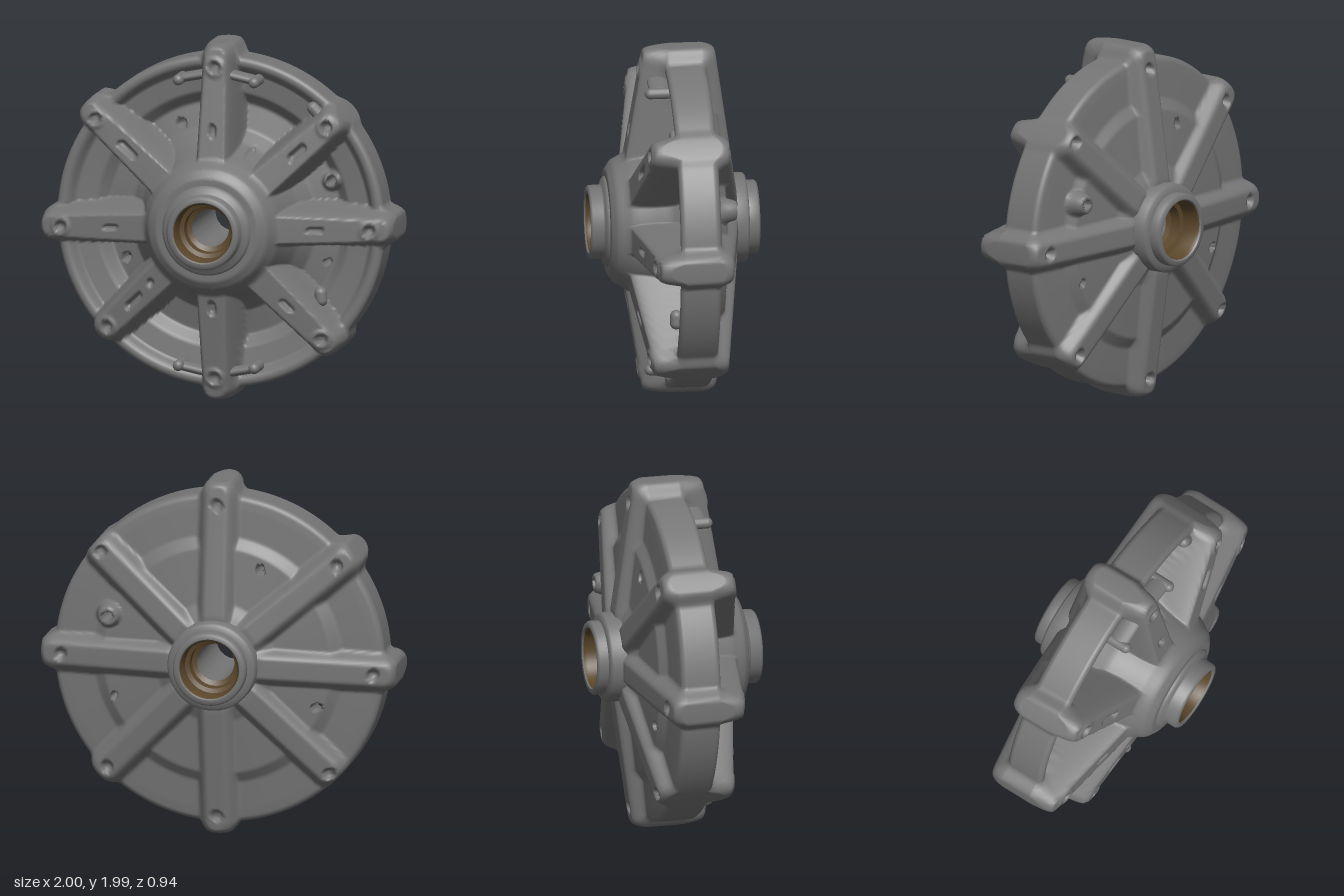
import * as THREE from 'three';
import { toCreasedNormals } from 'three/addons/utils/BufferGeometryUtils.js';

const CY = 0.985, SEG = 400, RINGS = 72, R0 = 0.22, RIM = 0.93, FILLET = 0.03;
const rad = THREE.MathUtils.degToRad;

// Eight ribs: angle, how far the end lug sticks out of the rim, bolt radius, slot [from, to, half width]
const ribs = [
  [0, 0.07, 0.877, [0.55, 0.61, 0.012]],
  [42, 0.01, 0.856, [0.6, 0.68, 0.018]],
  [90, 0.075, 0.882, [0.52, 0.55, 0.016]],
  [140, 0.06, 0.885, [0.59, 0.68, 0.018]],
  [182.7, 0.07, 0.877, [0.55, 0.61, 0.008]],
  [224, 0.0, 0.85, [0.58, 0.67, 0.014]],
  [270, 0.055, 0.856, [0.44, 0.47, 0.02]],
  [314.5, 0.03, 0.865, [0.57, 0.63, 0.012]],
].map(([a, lug, bolt, slot]) => ({
  c: Math.cos(rad(a)), s: Math.sin(rad(a)), lug, bolt, slot, end: RIM + lug - 0.07,
}));

// Holes through the panels [x, y, radius] and shallow pits in their front
const holes = [[-0.245, 0.525, 0.022], [0.61, 0.235, 0.024], [-0.56, -0.24, 0.023], [0.58, -0.225, 0.016]];
const pits = [[0.18, 0.395, 0.02], [-0.35, -0.325, 0.018]];

// Panel sections between the ribs: [radius, z]
const frontSection = [[0.22, 0.37], [0.29, 0.368], [0.34, 0.335], [0.385, 0.25], [0.41, 0.16], [0.45, 0.045],
  [0.52, -0.05], [0.66, -0.085], [0.72, -0.025], [0.84, -0.01], [0.865, 0.035], [0.885, 0.05], [1.1, 0.05]];
const backSection = [[0.22, -0.325], [0.28, -0.3], [0.34, -0.27], [0.64, -0.235], [0.70, -0.195], [0.86, -0.18],
  [0.93, -0.17], [1.1, -0.17]];

function sample(section, r) {
  let i = 1;
  while (i < section.length - 1 && section[i][0] < r) i++;
  const [a, za] = section[i - 1], [b, zb] = section[i];
  return za + (zb - za) * (r - a) / (b - a);
}
function smoothMax(a, b, k) {
  const h = Math.max(k - Math.abs(a - b), 0) / k;
  return Math.max(a, b) + h * h * k / 4;
}
// Falls away softly past the rib's edge, then steeply
function shoulder(d, w, slope) {
  const e = Math.max(0, d - w + 0.025);
  return e < 0.05 ? e * e * slope / 0.1 : 0.025 * slope + (e - 0.05) * slope;
}
const segDist = (u, v, a, b) => Math.hypot(u - Math.min(Math.max(u, a), b), v);
const inside = (d, r, soft = 0.014) => 1 - THREE.MathUtils.smoothstep(d, r - soft / 2, r + soft / 2);

// Outline of the rim, swelling at the lugs
function rimRadius(t) {
  let r = RIM;
  for (const b of ribs) {
    const u = Math.cos(t) * b.c + Math.sin(t) * b.s, v = Math.abs(Math.sin(t) * b.c - Math.cos(t) * b.s);
    if (u > 0) r = Math.max(r, RIM + b.lug * (1 - THREE.MathUtils.smoothstep(v, 0.06, 0.13)));
  }
  return r;
}

function heights(x, y) {
  const r = Math.hypot(x, y);
  let f = sample(frontSection, r), k = -sample(backSection, r), cut = 0, backCut = 0;
  for (const b of ribs) {
    const u = x * b.c + y * b.s, v = Math.abs(y * b.c - x * b.s);
    if (u < 0 || v > 0.3) continue;
    const d = segDist(u, v, 0, b.end);
    const top = 0.265 - (r - 0.39) * 0.17 - Math.max(0, 0.39 - r) * 0.1;
    f = smoothMax(f, top - shoulder(d, 0.105 - 0.025 * r, 10), 0.03);
    k = smoothMax(k, 0.338 - Math.max(0, r - 0.27) * 0.145 - shoulder(d, 0.07, 2), 0.025);
    const bolt = Math.hypot(u - b.bolt, v);
    f += 0.01 * inside(bolt, 0.055, 0.02);
    cut = Math.max(cut, 0.05 * inside(bolt, 0.026), 0.035 * inside(segDist(u, v, b.slot[0], b.slot[1]), b.slot[2]));
    backCut = Math.max(backCut, 0.04 * inside(Math.hypot(u - 0.88, v), 0.028));
  }
  for (const [px, py, pr] of pits) cut = Math.max(cut, 0.03 * inside(Math.hypot(x - px, y - py), pr));
  // Raised sleeve on the back around one panel hole
  const sleeve = Math.hypot(x - holes[1][0], y - holes[1][1]);
  k += Math.max(0, 0.29 - k) * inside(sleeve, 0.062, 0.025);
  f += 0.035 * inside(sleeve, 0.05, 0.025);
  return [f - cut, -k + backCut];
}

// Ribbed casing: one loop of rings running over the front, round the rim and over the back
function casingGeometry() {
  const pos = [], open = [], index = [], rows = 2 * (RINGS + 1), edge = 6;
  for (let row = 0; row < rows; row++) {
    const front = row <= RINGS, i = front ? row : rows - 1 - row;
    for (let j = 0; j < SEG; j++) {
      const t = j / SEG * Math.PI * 2, R = rimRadius(t), n = RINGS - edge;
      const r = i <= n ? R0 + (R - FILLET - R0) * i / n
        : R - FILLET + FILLET * Math.sin((i - n) / edge * Math.PI / 2);
      let x = r * Math.cos(t), y = r * Math.sin(t);
      const e = Math.max(0, r - R + FILLET);
      const round = FILLET - Math.sqrt(Math.max(0, FILLET * FILLET - e * e));
      const [f, b] = heights(x, y);
      // Points inside a hole move out to its edge so that it stays round
      const hole = holes.find(h => Math.hypot(x - h[0], y - h[1]) < h[2]);
      if (hole) {
        const dx = x - hole[0], dy = y - hole[1], d = Math.hypot(dx, dy);
        if (d > hole[2] * 0.4) {
          x = hole[0] + dx * hole[2] / d;
          y = hole[1] + dy * hole[2] / d;
        }
      }
      open.push(!!hole);
      pos.push(x, y, hole ? (f + b) / 2 : front ? f - round : b + round);
    }
  }
  const face = (a, b, c) => { if (!(open[a] && open[b] && open[c])) index.push(a, b, c); };
  for (let row = 0; row < rows - 1; row++) for (let j = 0; j < SEG; j++) {
    const a = row * SEG + j, b = row * SEG + (j + 1) % SEG;
    face(a, a + SEG, b + SEG);
    face(a, b + SEG, b);
  }
  const g = new THREE.BufferGeometry();
  g.setAttribute('position', new THREE.Float32BufferAttribute(pos, 3));
  g.setIndex(index);
  g.computeVertexNormals();
  return g;
}

export function createModel() {
  const model = new THREE.Group();
  const grey = new THREE.MeshStandardMaterial({ color: 0x757575 });
  grey.name = 'cast grey';
  const bronze = new THREE.MeshStandardMaterial({ color: 0x5a462a });
  bronze.name = 'bronze';
  const wheel = new THREE.Group();
  wheel.name = 'wheel';
  wheel.position.y = CY;
  model.add(wheel);
  const add = (name, geometry, material) => {
    const m = new THREE.Mesh(geometry, material);
    m.name = name;
    wheel.add(m);
    return m;
  };
  // Turned parts about the z axis from [radius, z] points
  const turned = (name, pts, material) => add(name, toCreasedNormals(
    new THREE.LatheGeometry(pts.map(p => new THREE.Vector2(...p)), 64).rotateX(Math.PI / 2), 0.9), material);

  add('ribbedCasing', casingGeometry(), grey);

  // Hub collars, bearing seats and bore
  turned('frontCollar', [[0.255, 0.34], [0.25, 0.375], [0.236, 0.388], [0.21, 0.393], [0.205, 0.4], [0.205, 0.458],
    [0.195, 0.47], [0.172, 0.47], [0.166, 0.462]], grey);
  turned('backCollar', [[0.166, -0.462], [0.172, -0.47], [0.195, -0.47], [0.205, -0.458], [0.205, -0.41],
    [0.238, -0.405], [0.248, -0.393], [0.25, -0.3]], grey);
  const seat = [[0.166, 0.462], [0.158, 0.445], [0.155, 0.36], [0.132, 0.35], [0.13, 0.29], [0.105, 0.275]];
  turned('frontBearingSeat', seat, bronze);
  turned('backBearingSeat', seat.map(([r, z]) => [r, -z]).reverse(), bronze);
  turned('bore', [[0.105, 0.275], [0.105, -0.275]], grey);

  // Cross tabs on the top and bottom ribs, each with two drooping arms ending in knobs
  for (const sy of [1, -1]) for (const sx of [1, -1]) {
    const arm = add('crossTabArm', new THREE.CapsuleGeometry(0.027, 0.13, 6, 16), grey);
    arm.scale.z = 2.2;
    arm.position.set(sx * 0.135, sy * 0.82, 0.09);
    arm.rotation.z = Math.PI / 2 - sx * sy * 0.2;
    const knob = add('crossTabKnob', new THREE.CapsuleGeometry(0.031, 0.11, 6, 16).rotateX(Math.PI / 2), grey);
    knob.position.set(sx * 0.215, sy * 0.8, 0.09);
  }

  // Small pads beside the diagonal rib ends
  for (const [x, y, turn] of [[0.54, 0.64, 0.75], [0.57, -0.4, 0.1], [-0.65, -0.54, -0.8]]) {
    const pad = add('ribPad', new THREE.CapsuleGeometry(0.035, 0.04, 6, 16), grey);
    pad.position.set(x, y, 0.04);
    pad.rotation.z = turn;
  }
  return model;
}
